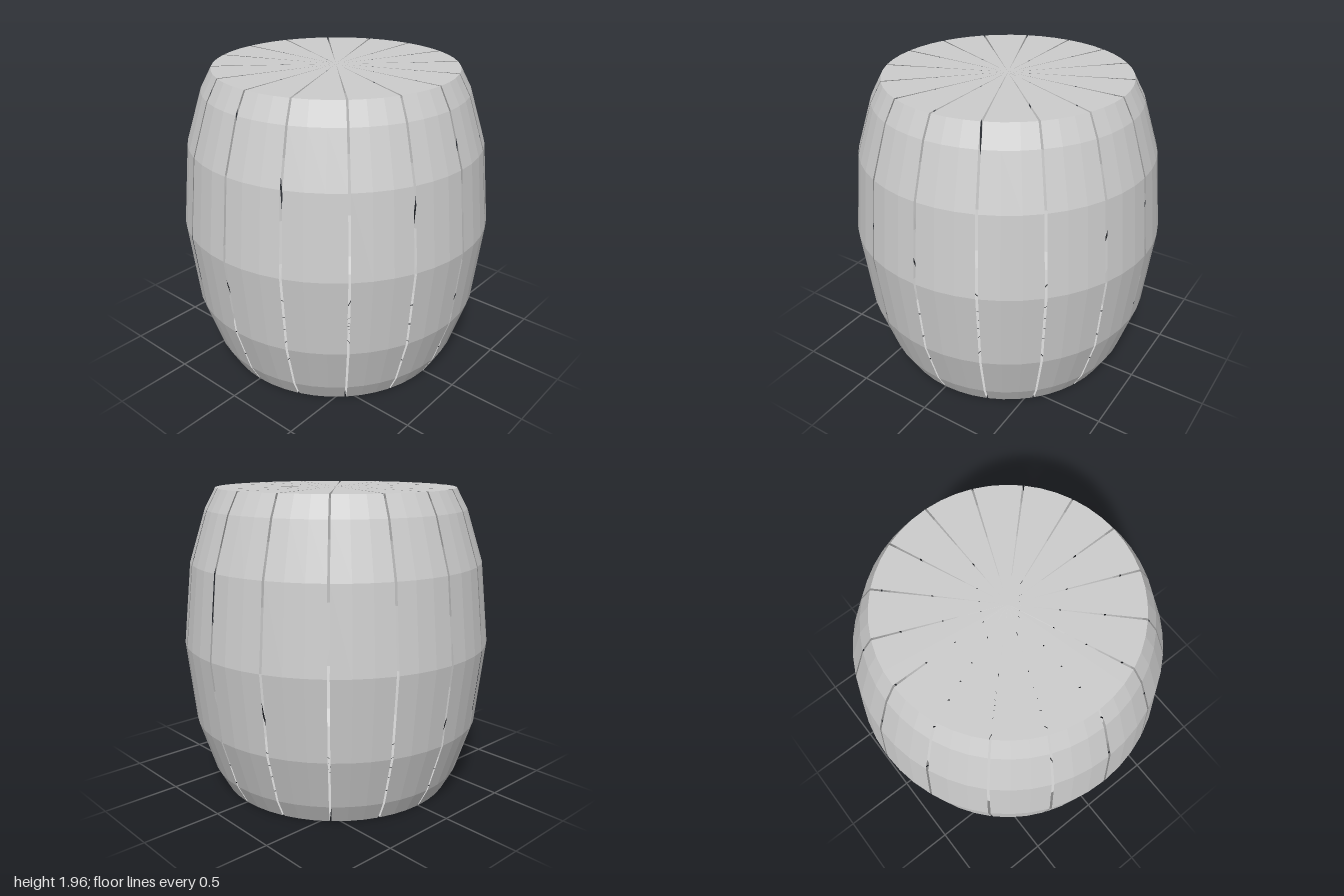
import * as THREE from 'three';

const STAVES = 16;
const FACETS = 3;
const GAP = 0.016; // angle of the slit between two staves

// Half outline of the barrel, from bottom centre to top centre: radius, height
const PROFILE = [
  [0, 0], [0.77, 0], [0.84, 0.13], [0.945, 0.46], [1, 0.98],
  [0.945, 1.5], [0.84, 1.83], [0.77, 1.96], [0, 1.96],
].map(([r, y]) => new THREE.Vector2(r, y));

export function createModel() {
  const barrel = new THREE.Group();
  barrel.name = 'barrel';

  const grey = new THREE.MeshStandardMaterial({ color: 0xcccccc, flatShading: true, side: THREE.DoubleSide });
  grey.name = 'plain grey';

  // Each stave is a thin open shell with its slice of both lids
  const step = (Math.PI * 2) / STAVES;
  const lathe = new THREE.LatheGeometry(PROFILE, FACETS, GAP / 2, step - GAP);
  const geometry = lathe.toNonIndexed();
  geometry.computeVertexNormals();

  for (let i = 0; i < STAVES; i++) {
    const stave = new THREE.Mesh(geometry, grey);
    stave.name = `stave${i + 1}`;
    stave.rotation.y = i * step;
    barrel.add(stave);
  }
  return barrel;
}
